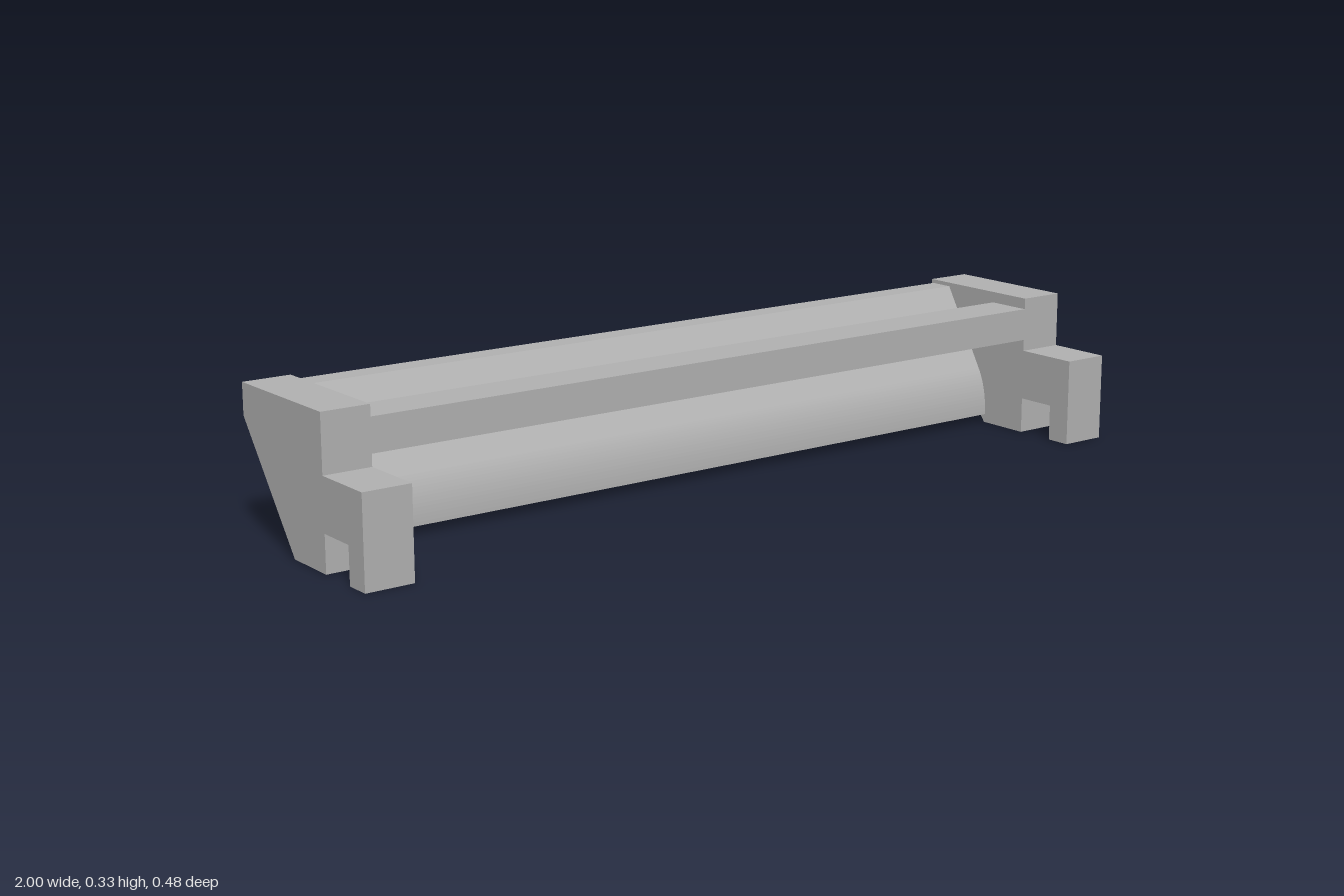
import * as THREE from 'three';

// Extrude a (z, y) profile along x, centred on the given x
function extrudeAlongX(shape, width, centreX) {
  const geometry = new THREE.ExtrudeGeometry(shape, { depth: width, bevelEnabled: false, curveSegments: 16 });
  geometry.translate(0, 0, -width / 2);
  geometry.rotateY(-Math.PI / 2);
  geometry.translate(centreX, 0, 0);
  return geometry;
}

export function createModel() {
  const group = new THREE.Group();
  const grey = new THREE.MeshStandardMaterial({ color: 0xb2b2b2 });
  grey.name = 'grey';

  const add = (name, geometry) => {
    const mesh = new THREE.Mesh(geometry, grey);
    mesh.name = name;
    group.add(mesh);
  };

  const endWidth = 0.11;
  const innerX = 1 - endWidth;

  // Hooked end brackets
  const bracket = new THREE.Shape([
    [0.24, 0], [0.24, 0.2], [0.088, 0.2], [0.088, 0.327], [-0.238, 0.327], [-0.238, 0.257],
    [-0.04, 0], [0.088, 0], [0.088, 0.083], [0.182, 0.083], [0.182, 0],
  ].map(([z, y]) => new THREE.Vector2(z, y)));
  for (const side of [-1, 1]) {
    add(side > 0 ? 'leftBracket' : 'rightBracket', extrudeAlongX(bracket, endWidth, side * (1 - endWidth / 2)));
  }

  // Sloping rear board, its inner face curving to vertical at the foot
  const board = new THREE.Shape();
  board.moveTo(-0.232, 0.318);
  board.lineTo(-0.232, 0.255);
  board.lineTo(-0.093, 0.02);
  board.lineTo(-0.037, 0.02);
  board.quadraticCurveTo(-0.037, 0.086, -0.063, 0.13);
  board.lineTo(-0.175, 0.318);
  board.closePath();
  add('rearBoard', extrudeAlongX(board, innerX * 2, 0));

  // Front cross bar
  const bar = new THREE.BoxGeometry(innerX * 2, 0.075, 0.108);
  bar.translate(0, 0.264, 0.034);
  add('frontBar', bar);

  return group;
}
